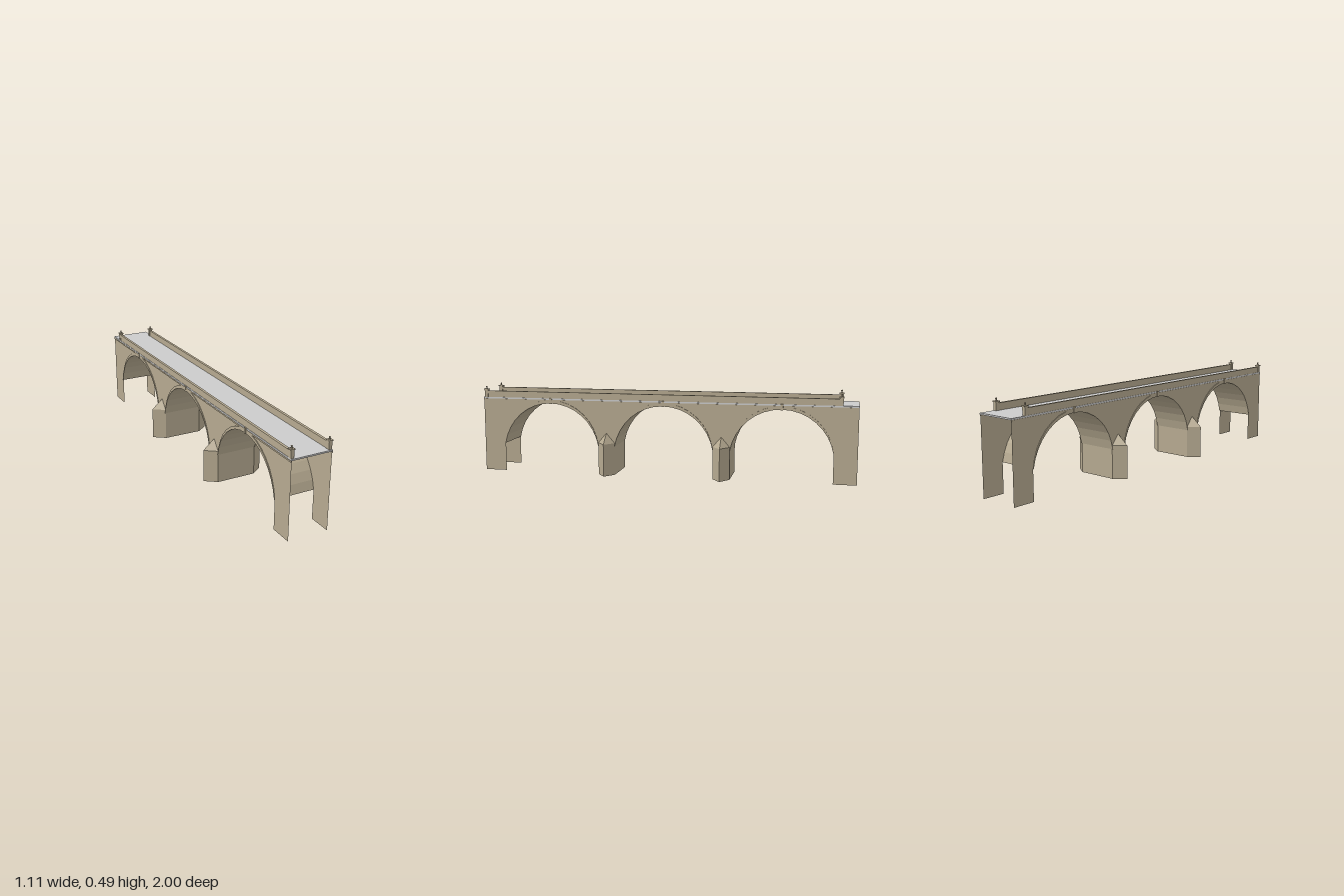
import * as THREE from 'three';

// Local axes: x runs along the bridge, z across it
const HALF_LEN = 1.05, HALF_W = 0.11, DECK_Y = 0.415;
const SPRING = 0.16, HALF_SPAN = 0.277, RADIUS = 0.28, ARC_Y = 0.115, SEGS = 16;
const ARCHES = [-0.648, 0, 0.648], PIERS = [-0.324, 0.324], PIER_HALF = 0.047;

const stone = new THREE.MeshStandardMaterial({ color: 0xb5a990, flatShading: true, side: THREE.DoubleSide });
const paving = new THREE.MeshStandardMaterial({ color: 0xcccccc });

function add(parent, name, geometry, x = 0, y = 0, z = 0, material = stone) {
  const mesh = new THREE.Mesh(geometry, material);
  mesh.name = name;
  mesh.position.set(x, y, z);
  parent.add(mesh);
  return mesh;
}

// Points of the arch curve from -x to +x; grow thickens it towards the crown
function archPoints(cx, grow = 0) {
  const a = Math.asin((SPRING - ARC_Y) / RADIUS);
  return Array.from({ length: SEGS + 1 }, (_, i) => {
    const t = Math.PI - a - (i / SEGS) * (Math.PI - 2 * a);
    const r = RADIUS + grow * Math.sin((i / SEGS) * Math.PI);
    const x = i === 0 ? -HALF_SPAN : i === SEGS ? HALF_SPAN : r * Math.cos(t);
    return new THREE.Vector2(cx + x, ARC_Y + r * Math.sin(t));
  });
}

// Mesh geometry from flat convex polygons
function polygons(list) {
  const pos = [];
  for (const p of list)
    for (let i = 1; i < p.length - 1; i++) pos.push(...p[0], ...p[i], ...p[i + 1]);
  const g = new THREE.BufferGeometry();
  g.setAttribute('position', new THREE.Float32BufferAttribute(pos, 3));
  g.computeVertexNormals();
  return g;
}

// Side wall outline with the three arched openings
function wallGeometry() {
  const s = new THREE.Shape();
  s.moveTo(-HALF_LEN, DECK_Y);
  s.lineTo(-HALF_LEN, 0);
  for (const cx of ARCHES) {
    s.lineTo(cx - HALF_SPAN, 0);
    archPoints(cx).forEach(p => s.lineTo(p.x, p.y));
    s.lineTo(cx + HALF_SPAN, 0);
  }
  s.lineTo(HALF_LEN, 0);
  s.lineTo(HALF_LEN, DECK_Y);
  return new THREE.ShapeGeometry(s);
}

// Barrel vault sheet, open underneath
function vaultGeometry(cx) {
  const p = archPoints(cx), W = HALF_W;
  return polygons(p.slice(1).map((b, i) => {
    const a = p[i];
    return [[a.x, a.y, -W], [a.x, a.y, W], [b.x, b.y, W], [b.x, b.y, -W]];
  }));
}

// Crescent trim around an arch
function ringGeometry(cx) {
  const s = new THREE.Shape([...archPoints(cx), ...archPoints(cx, 0.018).slice(1, -1).reverse()]);
  return new THREE.ExtrudeGeometry(s, { depth: 0.004, bevelEnabled: false });
}

// Pointed cutwater with a half-pyramid cap, on side s (+1 or -1)
function cutwaterGeometry(cx, s) {
  const base = HALF_W * s, tip = 0.174 * s, top = 0.18;
  const apex = [cx, 0.235, base];
  const faces = [];
  for (const d of [-1, 1]) {
    const x = cx + d * PIER_HALF;
    const wall = [[x, 0, base], [cx, 0, tip], [cx, top, tip], [x, top, base]];
    const cap = [[x, top, base], [cx, top, tip], apex];
    faces.push(d * s < 0 ? wall : wall.reverse(), d * s < 0 ? cap : cap.reverse());
  }
  return polygons(faces);
}

// Parapet end post with cap and finial
function post(x, z) {
  const g = new THREE.Group();
  g.name = 'parapetPost';
  g.position.set(x, 0, z);
  add(g, 'postShaft', new THREE.BoxGeometry(0.02, 0.042, 0.018), 0, 0.444);
  add(g, 'postCap', new THREE.BoxGeometry(0.026, 0.006, 0.024), 0, 0.467);
  add(g, 'finialNeck', new THREE.CylinderGeometry(0.003, 0.005, 0.008, 8), 0, 0.474);
  add(g, 'finialBall', new THREE.SphereGeometry(0.005, 8, 6), 0, 0.481);
  return g;
}

export function createModel() {
  const model = new THREE.Group();
  model.name = 'archBridge';
  const bridge = new THREE.Group();
  bridge.name = 'bridge';
  bridge.rotation.y = 1.128;
  model.add(bridge);

  // Road deck, reaching past the parapets at one end
  add(bridge, 'deck', new THREE.BoxGeometry(2.104, 0.008, 0.224), 0, 0.419, 0, paving);

  for (const cx of ARCHES) add(bridge, 'vault', vaultGeometry(cx));

  // Pier flanks below the vaults
  for (const px of PIERS)
    for (const d of [-1, 1]) {
      const flank = add(bridge, 'pierFlank', new THREE.PlaneGeometry(2 * HALF_W, SPRING), px + d * PIER_HALF, SPRING / 2);
      flank.rotation.y = d * Math.PI / 2;
    }

  // Everything that repeats on both sides
  const start = -1.045, end = 0.968;
  for (const s of [-1, 1]) {
    const wall = add(bridge, 'sideWall', wallGeometry(), 0, 0, s * HALF_W);
    if (s < 0) wall.rotation.y = Math.PI;
    add(bridge, 'stringCourse', new THREE.BoxGeometry(2 * HALF_LEN, 0.008, 0.005), 0, 0.411, s * 0.1115);
    add(bridge, 'parapet', new THREE.BoxGeometry(end - start, 0.038, 0.014), (start + end) / 2, 0.44, s * 0.103);
    for (const x of [start + 0.01, end - 0.01]) bridge.add(post(x, s * 0.103));
    for (const cx of ARCHES) {
      add(bridge, 'archRing', ringGeometry(cx), 0, 0, s > 0 ? HALF_W : -HALF_W - 0.004);
      add(bridge, 'keystone', new THREE.BoxGeometry(0.014, 0.032, 0.008), cx, 0.408, s * 0.113);
    }
    for (const px of PIERS) add(bridge, 'cutwater', cutwaterGeometry(px, s));
  }
  return model;
}
